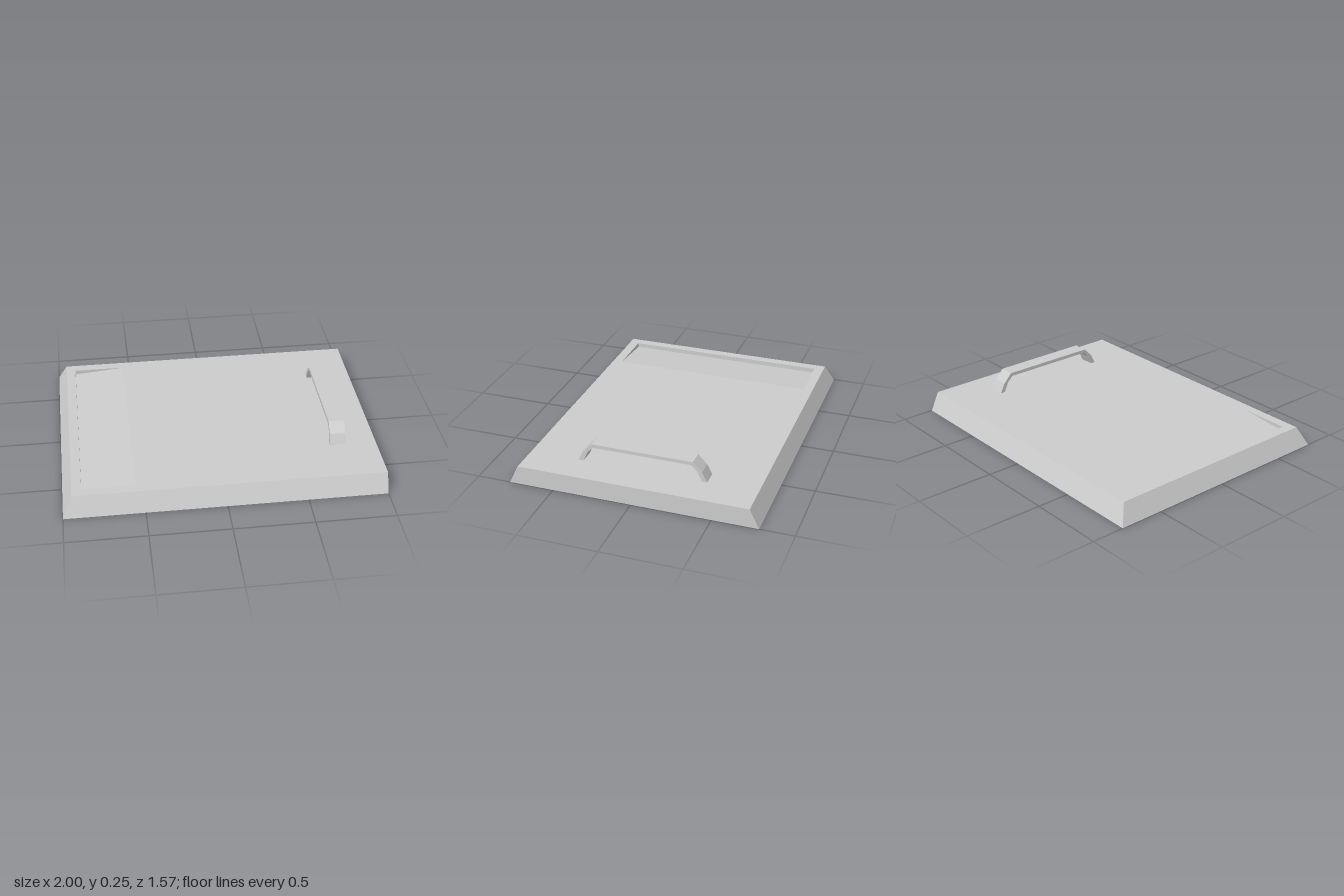
import * as THREE from 'three';

const material = new THREE.MeshStandardMaterial({ color: 0xcccccc, flatShading: true });

// Flat-shaded geometry from polygons, corners counter-clockwise seen from outside
function fromFaces(faces) {
  const positions = [];
  for (const f of faces) {
    for (let i = 1; i < f.length - 1; i++) positions.push(...f[0], ...f[i], ...f[i + 1]);
  }
  const geometry = new THREE.BufferGeometry();
  geometry.setAttribute('position', new THREE.Float32BufferAttribute(positions, 3));
  geometry.computeVertexNormals();
  return geometry;
}

// Board with three bevelled sides, a square right-hand end and a shallow ramped recess
function createBoard() {
  const H = 0.122, floorY = 0.092;
  const x0 = -1, x1 = 1, topX = -0.94, recessX = -0.88, rampX = -0.55;
  const zBase = 0.787, zTop = 0.728, zRecess = 0.665;

  const top = (xa, xb, za, zb) => [[xa, H, za], [xa, H, zb], [xb, H, zb], [xb, H, za]];
  const faces = [
    // underside
    [[x0, 0, -zBase], [x1, 0, -zBase], [x1, 0, zBase], [x0, 0, zBase]],
    // square end and the three bevels
    [[x1, 0, zBase], [x1, 0, -zBase], [x1, H, -zTop], [x1, H, zTop]],
    [[x0, 0, -zBase], [x0, 0, zBase], [topX, H, zTop], [topX, H, -zTop]],
    [[x0, 0, zBase], [x1, 0, zBase], [x1, H, zTop], [topX, H, zTop]],
    [[x1, 0, -zBase], [x0, 0, -zBase], [topX, H, -zTop], [x1, H, -zTop]],
    // top surface around the recess
    top(topX, recessX, -zTop, zTop),
    top(recessX, rampX, -zTop, -zRecess),
    top(recessX, rampX, zRecess, zTop),
    top(rampX, x1, -zTop, zTop),
    // recess: ramped floor, end wall and tapering side walls
    [[recessX, floorY, -zRecess], [recessX, floorY, zRecess], [rampX, H, zRecess], [rampX, H, -zRecess]],
    [[recessX, floorY, zRecess], [recessX, floorY, -zRecess], [recessX, H, -zRecess], [recessX, H, zRecess]],
    [[recessX, floorY, -zRecess], [rampX, H, -zRecess], [recessX, H, -zRecess]],
    [[recessX, floorY, zRecess], [recessX, H, zRecess], [rampX, H, zRecess]],
  ];
  const board = new THREE.Mesh(fromFaces(faces), material);
  board.name = 'board';
  return board;
}

// Bent strap handle: mirrored profile extruded across its width
function createHandle() {
  const outer = [[0.413, 0.12], [0.38, 0.185], [0.323, 0.245]];
  const inner = [[0.38, 0.12], [0.35, 0.185], [0.312, 0.222]];
  const mirror = (pts) => pts.map(([z, y]) => [-z, y]).reverse();
  const outline = [...outer, ...mirror(outer), ...[...outer, ...mirror(outer)].length ? [...inner, ...mirror(inner)].reverse() : []];
  const shape = new THREE.Shape(outline.map(([z, y]) => new THREE.Vector2(z, y)));
  const width = 0.1;
  const geometry = new THREE.ExtrudeGeometry(shape, { depth: width, bevelEnabled: false });
  geometry.translate(0, 0, -width / 2);
  geometry.rotateY(Math.PI / 2);
  const handle = new THREE.Mesh(geometry, material);
  handle.name = 'handle';
  handle.position.x = 0.755;
  return handle;
}

export function createModel() {
  const model = new THREE.Group();
  model.name = 'boardWithHandle';
  model.add(createBoard(), createHandle());
  return model;
}
